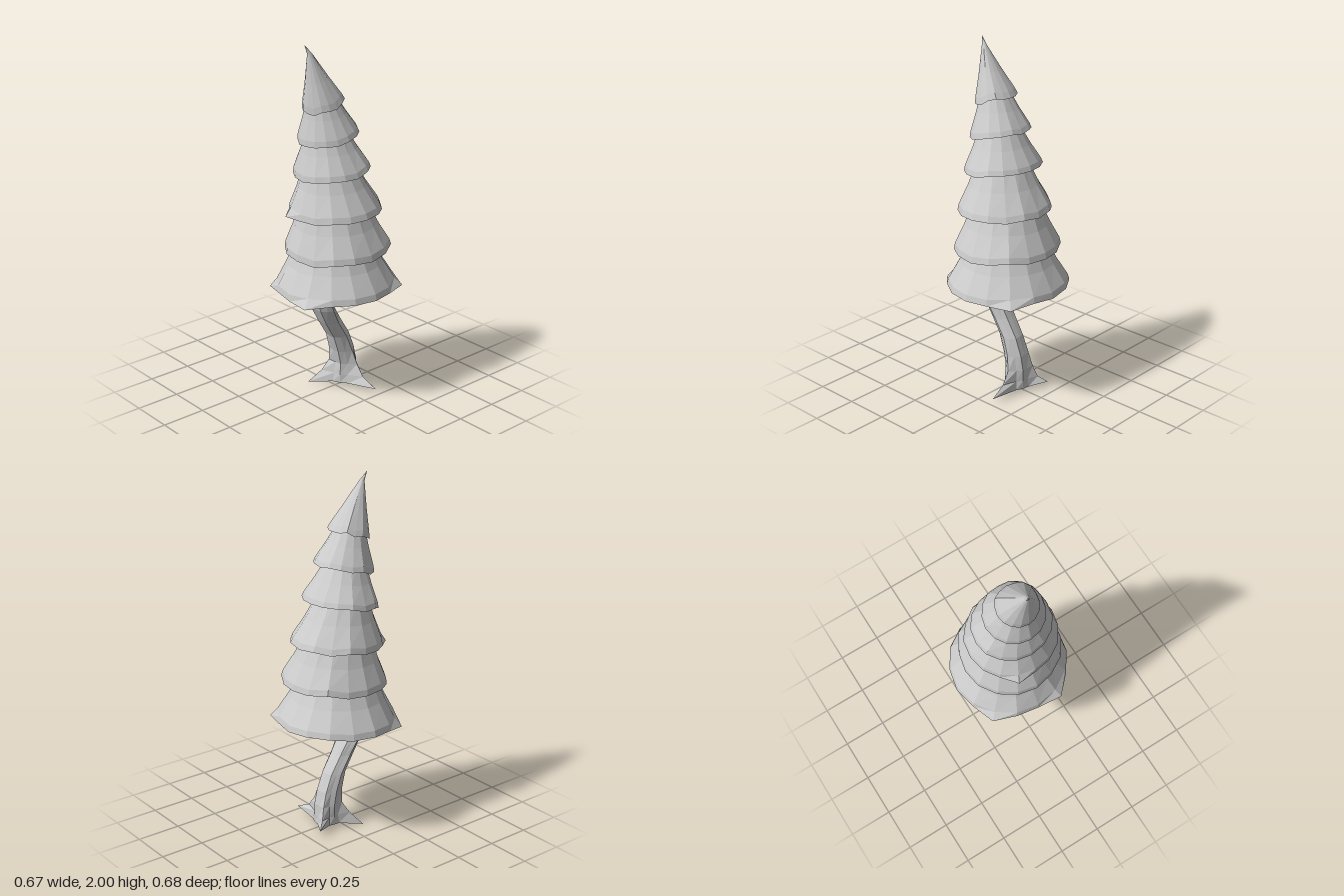
import * as THREE from 'three';

const material = new THREE.MeshStandardMaterial({
  color: 0xcccccc, flatShading: true, side: THREE.DoubleSide,
});

// Small seeded noise in the range -1..1
function makeNoise(seed) {
  let s = seed;
  return () => {
    s = (s * 16807) % 2147483647;
    return (s / 2147483647) * 2 - 1;
  };
}

// Skins a stack of closed rings, listed from bottom to top
function loft(name, rings) {
  const n = rings[0].length;
  const index = [];
  for (let i = 0; i < rings.length - 1; i++) {
    for (let j = 0; j < n; j++) {
      const k = (j + 1) % n;
      const a = i * n + j, b = i * n + k, c = a + n, d = b + n;
      index.push(a, c, b, b, c, d);
    }
  }
  const geometry = new THREE.BufferGeometry().setFromPoints(rings.flat());
  geometry.setIndex(index);
  geometry.computeVertexNormals();
  const mesh = new THREE.Mesh(geometry, material);
  mesh.name = name;
  return mesh;
}

// Leaning trunk whose foot spreads into three pointed roots
function makeTrunk() {
  const roots = [
    { angle: -40, reach: 0.17, y: 0.04 },
    { angle: 83, reach: 0.235, y: 0.03 },
    { angle: 219, reach: 0.205, y: 0 },
  ];
  // centre x, y, radius in x, radius in z, root flare
  const sections = [
    [0.07, 0.05, 0, 0, 0],
    [0.07, 0.02, 0.07, 0.07, 1],
    [0.07, 0.075, 0.07, 0.07, 0.42],
    [0.072, 0.14, 0.066, 0.07, 0.14],
    [0.055, 0.22, 0.066, 0.067, 0.04],
    [0.02, 0.32, 0.062, 0.066, 0],
    [-0.04, 0.42, 0.06, 0.068, 0],
    [-0.088, 0.51, 0.056, 0.08, 0],
    [-0.108, 0.57, 0.054, 0.08, 0],
    [-0.118, 0.62, 0.045, 0.055, 0],
    [-0.125, 0.65, 0, 0, 0],
  ];
  const steps = 4;
  const rings = sections.map(([cx, y, rx, rz, flare], level) => {
    const ring = [];
    roots.forEach((root, r) => {
      const next = roots[(r + 1) % 3];
      const span = (next.angle - root.angle + 360) % 360;
      for (let s = 0; s < steps; s++) {
        const angle = THREE.MathUtils.degToRad(root.angle + (span * s) / steps);
        const near = s < 2 ? root : next;
        const rootness = s === 0 ? 1 : s === 2 ? 0 : 0.1;
        const grow = flare * rootness * (near.reach - 0.07);
        const bark = s % 2 ? 0.93 : 1.04;
        const foot = level === 1 ? (near.y - 0.025) * rootness + 0.005 : 0;
        ring.push(new THREE.Vector3(
          cx + Math.cos(angle) * (rx * bark + grow),
          y + foot,
          Math.sin(angle) * (rz * bark + grow)));
      }
    });
    return ring;
  });
  return loft('trunk', rings);
}

// Ragged skirt of foliage, open underneath
function makeTier(tier, number) {
  const sides = 16;
  const noise = makeNoise(977 * (number + 3));
  const rag = Array.from({ length: sides }, noise);
  const levels = [0, 0.12, 0.5, 1];
  const rings = levels.map((t) => {
    const cx = THREE.MathUtils.lerp(tier.x, tier.topX, t);
    const cz = tier.z * (1 - t);
    const rx = THREE.MathUtils.lerp(tier.rx, tier.topR, t);
    const rz = THREE.MathUtils.lerp(tier.rz, tier.topR, t);
    const fade = 1 - t;
    return rag.map((n, j) => {
      const angle = (j / sides) * Math.PI * 2;
      const spike = t === 0 && tier.spikes.includes(j) ? 1 : 0;
      const bulge = t === 0.12 ? 1.025 : t === 0.5 ? 0.99 : 1;
      const r = bulge * (1 + 0.018 * n * fade + 0.1 * spike);
      return new THREE.Vector3(
        cx + Math.cos(angle) * rx * r,
        THREE.MathUtils.lerp(tier.y, tier.topY, t)
          + fade * (tier.tilt * Math.cos(angle) + 0.01 * n) - 0.015 * spike,
        cz + Math.sin(angle) * rz * r);
    });
  });
  // The highest tier closes in a thin bent tip
  if (tier.tip) rings.push(rag.map(() => new THREE.Vector3(...tier.tip)));
  return loft(`foliageTier${number + 1}`, rings);
}

export function createModel() {
  const tree = new THREE.Group();
  tree.name = 'leaningConifer';
  tree.add(makeTrunk());

  const tiers = [
    { x: 0, z: 0, rx: 0.333, rz: 0.34, y: 0.635, tilt: 0.012,
      topX: -0.01, topR: 0.2, topY: 0.92, spikes: [2, 7, 10] },
    { x: 0.005, z: 0.015, rx: 0.288, rz: 0.29, y: 0.855, tilt: 0.018,
      topX: -0.015, topR: 0.175, topY: 1.14, spikes: [] },
    { x: -0.01, z: 0.015, rx: 0.252, rz: 0.26, y: 1.08, tilt: 0.015,
      topX: -0.045, topR: 0.13, topY: 1.36, spikes: [9] },
    { x: -0.03, z: 0.005, rx: 0.202, rz: 0.222, y: 1.31, tilt: 0.03,
      topX: -0.065, topR: 0.1, topY: 1.55, spikes: [] },
    { x: -0.052, z: 0.005, rx: 0.16, rz: 0.168, y: 1.495, tilt: 0.035,
      topX: -0.1, topR: 0.068, topY: 1.74, spikes: [] },
    { x: -0.085, z: 0.003, rx: 0.108, rz: 0.116, y: 1.675, tilt: 0.035,
      topX: -0.172, topR: 0.014, topY: 1.95, spikes: [], tip: [-0.2, 2, -0.01] },
  ];
  tiers.forEach((tier, i) => tree.add(makeTier(tier, i)));
  return tree;
}
